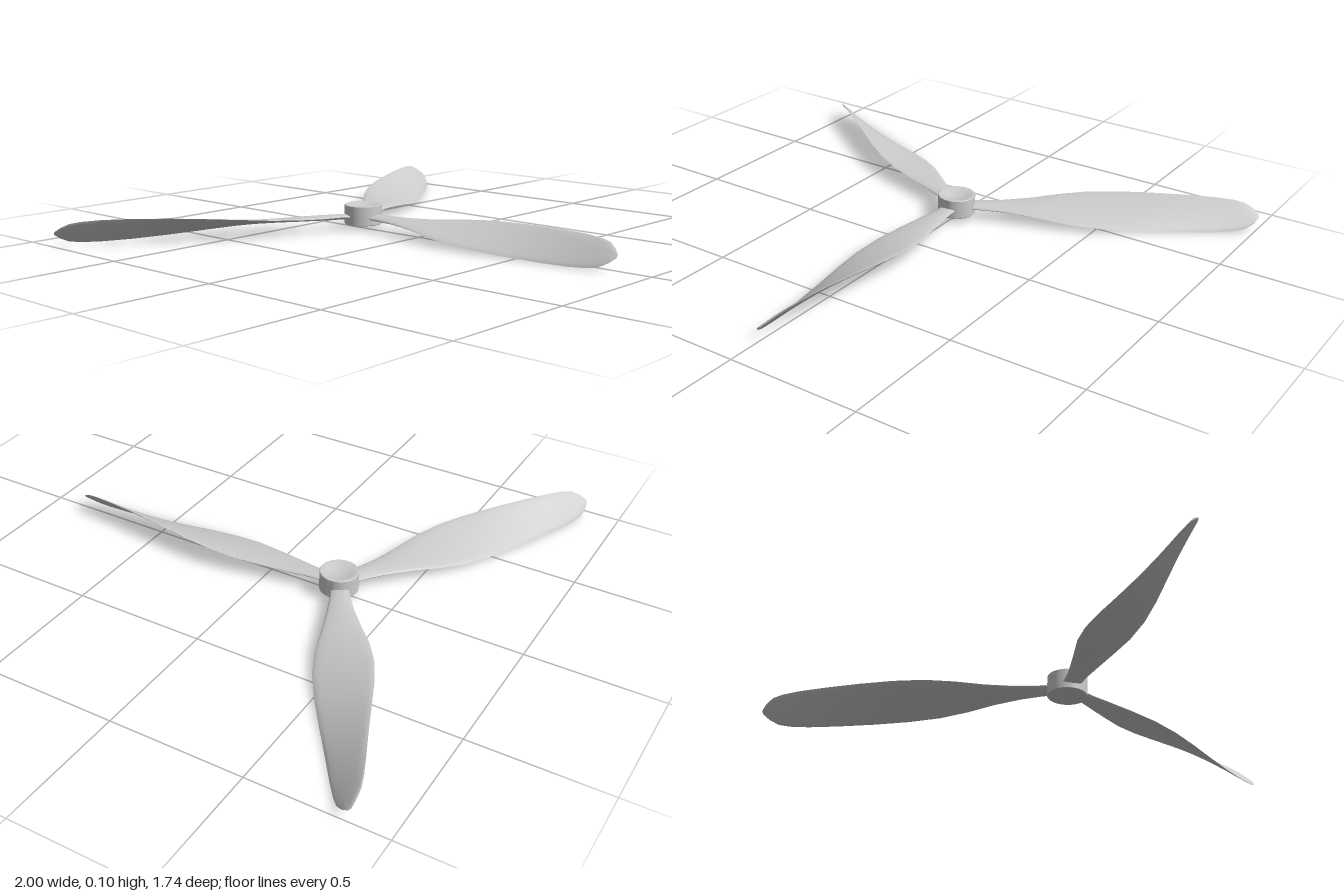
import * as THREE from 'three';
import { toCreasedNormals } from 'three/addons/utils/BufferGeometryUtils.js';

const HUB_Z = -0.285, BLADE_Y = 0.055;

// Blade stations: radius, half width across, half rise (twist), half thickness
const STATIONS = [
  [0.04, 0.034, 0.002, 0.010],
  [0.10, 0.036, 0.003, 0.010],
  [0.18, 0.048, 0.003, 0.009],
  [0.285, 0.069, 0.008, 0.008],
  [0.39, 0.092, 0.018, 0.008],
  [0.50, 0.102, 0.029, 0.007],
  [0.62, 0.096, 0.038, 0.007],
  [0.75, 0.081, 0.045, 0.006],
  [0.88, 0.065, 0.049, 0.006],
  [0.99, 0.053, 0.049, 0.005],
  [1.06, 0.044, 0.045, 0.005],
  [1.10, 0.036, 0.038, 0.005],
  [1.13, 0.022, 0.023, 0.004],
  [1.15, 0.007, 0.006, 0.003],
  [1.152, 0.0005, 0.0005, 0.0005],
];

// Twisted blade running along +z, lofted from elliptical sections
function bladeGeometry() {
  const sides = 20, positions = [], index = [];
  STATIONS.forEach(([r, hx, hy, t], i) => {
    const chord = Math.hypot(hx, hy), nx = -hy / chord, ny = hx / chord;
    for (let j = 0; j < sides; j++) {
      const a = (j / sides) * Math.PI * 2;
      const c = Math.cos(a), s = Math.sin(a) * t;
      positions.push(c * hx + s * nx, c * hy + s * ny, r);
      if (i < STATIONS.length - 1) {
        const k = (j + 1) % sides, lo = i * sides, hi = lo + sides;
        index.push(lo + j, lo + k, hi + k, lo + j, hi + k, hi + j);
      }
    }
  });
  const g = new THREE.BufferGeometry();
  g.setAttribute('position', new THREE.Float32BufferAttribute(positions, 3));
  g.setIndex(index);
  return toCreasedNormals(g, 0.7);
}

export function createModel() {
  const model = new THREE.Group();
  model.name = 'propeller';
  const material = new THREE.MeshStandardMaterial({ color: 0xcccccc });

  // Hub: short cylinder with a shallow dished top
  const profile = [
    [0, 0.025], [0.070, 0.025], [0.072, 0.027], [0.072, 0.098], [0.070, 0.100],
    [0.060, 0.100], [0.045, 0.094], [0.025, 0.089], [0, 0.087],
  ].map(([x, y]) => new THREE.Vector2(x, y));
  const hub = new THREE.Mesh(toCreasedNormals(new THREE.LatheGeometry(profile, 48), 0.6), material);
  hub.name = 'hub';
  hub.position.z = HUB_Z;
  model.add(hub);

  // Three blades at equal angles
  const geometry = bladeGeometry();
  ['frontBlade', 'leftBlade', 'rightBlade'].forEach((name, i) => {
    const blade = new THREE.Mesh(geometry, material);
    blade.name = name;
    blade.position.set(0, BLADE_Y, HUB_Z);
    blade.rotation.y = (i * Math.PI * 2) / 3;
    model.add(blade);
  });
  return model;
}
